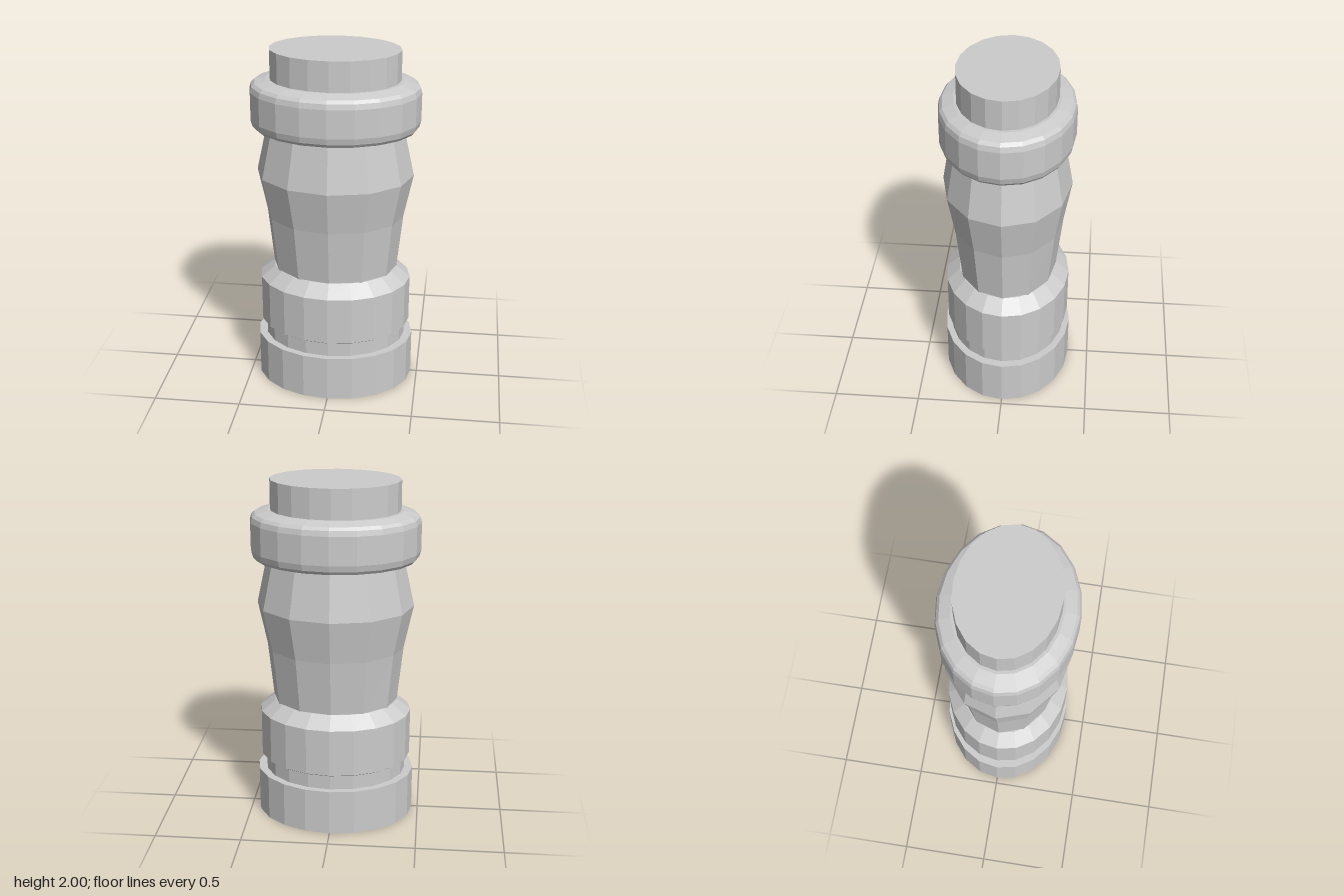
import * as THREE from 'three';

const material = new THREE.MeshStandardMaterial({ color: 0xcccccc, flatShading: true });

// Closed solid lofted through elliptical rings [y, radiusX, radiusZ], bottom to top
function ellipticalLoft(name, rings, sides) {
  const positions = [];
  const index = [];
  for (const [y, rx, rz] of rings) {
    for (let i = 0; i < sides; i++) {
      const a = (i / sides) * Math.PI * 2;
      positions.push(Math.sin(a) * rx, y, Math.cos(a) * rz);
    }
  }
  const last = rings.length - 1;
  const bottom = positions.length / 3;
  positions.push(0, rings[0][0], 0, 0, rings[last][0], 0);
  for (let i = 0; i < sides; i++) {
    const j = (i + 1) % sides;
    for (let r = 0; r < last; r++) {
      const a = r * sides + i, b = r * sides + j;
      index.push(a, b, b + sides, a, b + sides, a + sides);
    }
    // End caps
    index.push(bottom, j, i);
    index.push(bottom + 1, last * sides + i, last * sides + j);
  }
  const geometry = new THREE.BufferGeometry();
  geometry.setAttribute('position', new THREE.Float32BufferAttribute(positions, 3));
  geometry.setIndex(index);
  geometry.computeVertexNormals();
  const mesh = new THREE.Mesh(geometry, material);
  mesh.name = name;
  return mesh;
}

export function createModel() {
  const group = new THREE.Group();
  group.name = 'limbSegment';

  group.add(
    // Straight foot ring
    ellipticalLoft('base', [[0, 0.463, 0.378], [0.267, 0.463, 0.378]], 20),
    // Recessed band between base and cuff
    ellipticalLoft('groove', [[0.26, 0.415, 0.342], [0.37, 0.415, 0.342]], 20),
    // Cuff with sloped shoulder
    ellipticalLoft('lowerCuff', [
      [0.357, 0.43, 0.355], [0.364, 0.442, 0.364], [0.64, 0.442, 0.364], [0.708, 0.36, 0.287],
    ], 20),
    // Bulging middle section
    ellipticalLoft('body', [
      [0.69, 0.36, 0.285], [1.03, 0.396, 0.323], [1.28, 0.449, 0.367], [1.56, 0.388, 0.318],
    ], 12),
    // Rounded collar
    ellipticalLoft('collar', [
      [1.547, 0.435, 0.34], [1.552, 0.455, 0.358], [1.57, 0.471, 0.37], [1.605, 0.481, 0.378],
      [1.765, 0.481, 0.378], [1.795, 0.473, 0.371], [1.812, 0.455, 0.356], [1.83, 0.385, 0.295],
    ], 20),
    // Plug on top
    ellipticalLoft('topPlug', [[1.8, 0.367, 0.279], [2, 0.367, 0.279]], 20),
  );
  return group;
}
